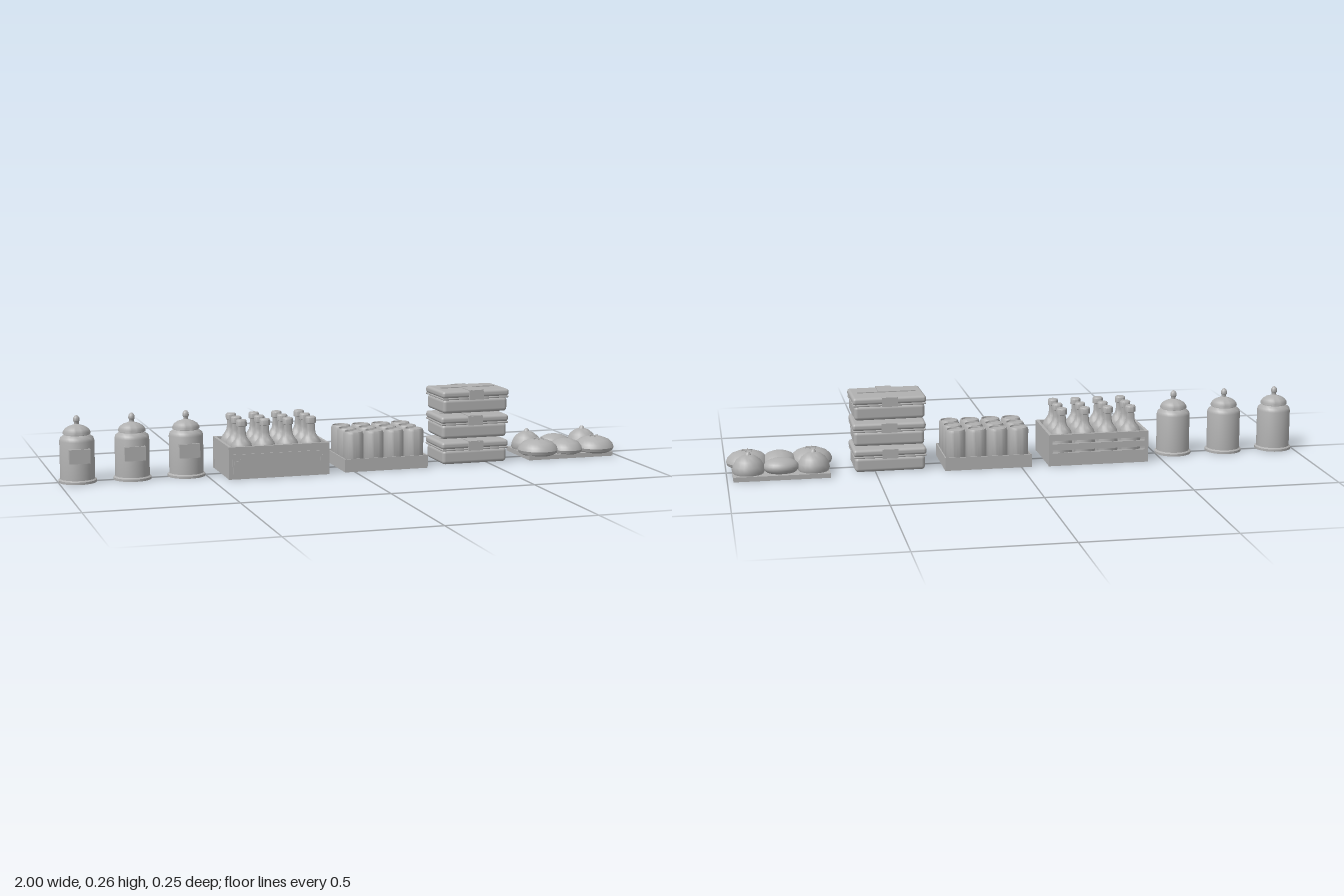
import * as THREE from 'three';
import { toCreasedNormals } from 'three/addons/utils/BufferGeometryUtils.js';
import { RoundedBoxGeometry } from 'three/addons/geometries/RoundedBoxGeometry.js';

const grey = new THREE.MeshStandardMaterial({ color: 0xb0b0b0 });
grey.name = 'plain grey';

function add(parent, name, geometry, x = 0, y = 0, z = 0) {
  const mesh = new THREE.Mesh(geometry, grey);
  mesh.name = name;
  mesh.position.set(x, y, z);
  parent.add(mesh);
  return mesh;
}

// Box given by its lower and upper corners
function box(parent, name, x0, x1, y0, y1, z0, z1) {
  return add(parent, name, new THREE.BoxGeometry(x1 - x0, y1 - y0, z1 - z0),
    (x0 + x1) / 2, (y0 + y1) / 2, (z0 + z1) / 2);
}

function lathe(points, segments = 28) {
  const profile = points.map(([r, y]) => new THREE.Vector2(r, y));
  return toCreasedNormals(new THREE.LatheGeometry(profile, segments), 0.7);
}

function group(parent, name, x = 0, y = 0, z = 0) {
  const g = new THREE.Group();
  g.name = name;
  g.position.set(x, y, z);
  parent.add(g);
  return g;
}

// Lidded jars with a front label
function addJars(root) {
  const body = lathe([[0, 0], [0.064, 0], [0.064, 0.008], [0.058, 0.012], [0.058, 0.14],
    [0.055, 0.15], [0.046, 0.157], [0.042, 0.16], [0.042, 0.165], [0, 0.165]], 32);
  const lid = lathe([[0, 0.163], [0.046, 0.163], [0.046, 0.169], [0.04, 0.179], [0.028, 0.187],
    [0.013, 0.192], [0.008, 0.195], [0.008, 0.201], [0.011, 0.206], [0.01, 0.216], [0.005, 0.223], [0, 0.225]], 32);
  for (const x of [-0.935, -0.75, -0.565]) {
    const jar = group(root, 'jar', x);
    add(jar, 'jarBody', body);
    add(jar, 'jarLid', lid);
    box(jar, 'jarLabel', -0.035, 0.035, 0.07, 0.118, 0.046, 0.062);
  }
}

// Slatted crate of twelve bottles
function addCrate(root) {
  const crate = group(root, 'bottleCrate', -0.27, 0, 0.004);
  const w = 0.175, d = 0.118, t = 0.01, h = 0.11;
  box(crate, 'crateFloor', -w, w, 0, 0.015, -d, d);
  for (const s of [-1, 1]) {
    const x = s * (w - t / 2);
    box(crate, 'crateEnd', x - t / 2, x + t / 2, 0, h, -d, d);
    for (const z of [-1, 1]) {
      box(crate, 'cornerPost', x - 0.006, x + 0.006, 0, h, z * (d - 0.007) - 0.007, z * (d - 0.007) + 0.007);
    }
    // square corner brackets on the front
    const bx = s * 0.15;
    box(crate, 'bracketPlate', bx - 0.013, bx + 0.013, 0.043, 0.069, d, d + 0.004);
    box(crate, 'bracketStud', bx - 0.007, bx + 0.007, 0.049, 0.063, d, d + 0.006);
  }
  box(crate, 'frontPanel', -w, w, 0, h, d - t, d);
  box(crate, 'frontInset', -0.16, 0.16, 0.018, 0.085, d, d + 0.003);
  for (const [a, b] of [[0, 0.045], [0.055, 0.077], [0.088, h]]) {
    box(crate, 'backSlat', -w, w, a, b, -d, -d + t);
  }
  const bottle = lathe([[0, 0.014], [0.034, 0.014], [0.036, 0.018], [0.036, 0.1], [0.033, 0.114],
    [0.024, 0.126], [0.017, 0.137], [0.0145, 0.15], [0.0135, 0.172], [0.018, 0.174],
    [0.018, 0.191], [0.015, 0.195], [0, 0.195]], 20);
  for (let i = 0; i < 4; i++) for (let j = -1; j <= 1; j++) {
    add(crate, 'bottle', bottle, -0.12 + i * 0.081, 0, j * 0.075 - 0.004);
  }
}

// Shallow tray of twelve cans
function addCans(root) {
  const tray = group(root, 'canTray', 0.115);
  const w = 0.15, d = 0.11, h = 0.045, t = 0.004;
  box(tray, 'trayFloor', -w, w, 0, 0.008, -d, d);
  for (const s of [-1, 1]) {
    const x = s * (w - t / 2), z = s * (d - t / 2);
    box(tray, 'traySide', x - t / 2, x + t / 2, 0, h, -d, d);
    box(tray, 'trayWall', -w, w, 0, h, z - t / 2, z + t / 2);
  }
  const can = lathe([[0, 0.008], [0.031, 0.008], [0.035, 0.014], [0.035, 0.127], [0.031, 0.136],
    [0.028, 0.136], [0.027, 0.131], [0, 0.131]], 24);
  for (let i = 0; i < 4; i++) for (let j = -1; j <= 1; j++) {
    add(tray, 'can', can, (i - 1.5) * 0.073, 0, j * 0.0715);
  }
}

// Three stacked boxes with overhanging lids and clasps
function addBoxes(root) {
  for (let i = 0; i < 3; i++) {
    const b = group(root, 'stackedBox', 0.45, i * 0.09);
    b.rotation.y = [0.01, -0.015, 0.02][i];
    add(b, 'boxBody', new RoundedBoxGeometry(0.24, 0.05, 0.164, 3, 0.012), 0, 0.026, 0);
    add(b, 'boxRim', new RoundedBoxGeometry(0.248, 0.007, 0.172, 1, 0.003), 0, 0.053, 0);
    add(b, 'boxLid', new RoundedBoxGeometry(0.25, 0.025, 0.174, 3, 0.01), 0, 0.0675, 0);
    box(b, 'lidSeam', -0.1, 0.1, 0.079, 0.083, -0.006, 0.006);
    box(b, 'topClasp', -0.027, 0.027, 0.079, 0.082, 0, 0.09);
    for (const s of [-1, 1]) {
      box(b, 'sideClasp', -0.027, 0.027, 0.048, 0.08, s * 0.088 - 0.004, s * 0.088 + 0.004);
    }
  }
}

// Board with six loaves
function addBread(root) {
  const bread = group(root, 'breadBoard', 0.818);
  box(bread, 'board', -0.162, 0.162, 0, 0.016, -0.127, 0.085);
  const loaf = lathe([[0, 0.012], [0.055, 0.012], [0.068, 0.019], [0.072, 0.03], [0.067, 0.043],
    [0.053, 0.056], [0.033, 0.064], [0.014, 0.068], [0, 0.069]], 28);
  const bun = lathe([[0, 0.014], [0.05, 0.014], [0.055, 0.025], [0.052, 0.042], [0.042, 0.06],
    [0.026, 0.073], [0.01, 0.079], [0.008, 0.084], [0.005, 0.088], [0, 0.089]], 20);
  for (const x of [-0.109, 0, 0.109]) {
    const front = add(bread, 'roundLoaf', loaf, x, 0, x ? 0.036 : 0.03);
    if (!x) front.scale.set(0.85, 0.92, 0.95);
    // scored star on the outer loaves
    if (x) for (let k = 0; k < 3; k++) {
      const cut = add(bread, 'loafScore', new THREE.BoxGeometry(0.04, 0.006, 0.003), x, 0.067, 0.036);
      cut.rotation.y = k * Math.PI / 3 + 0.3;
    }
    if (x) add(bread, 'knobBun', bun, x, 0, -0.07);
  }
  const middle = add(bread, 'middleBun', new THREE.SphereGeometry(0.06, 24, 14), 0, 0.034, -0.072);
  middle.scale.set(1, 0.5, 0.8);
}

export function createModel() {
  const root = new THREE.Group();
  root.name = 'foodSupplies';
  addJars(root);
  addCrate(root);
  addCans(root);
  addBoxes(root);
  addBread(root);
  return root;
}
